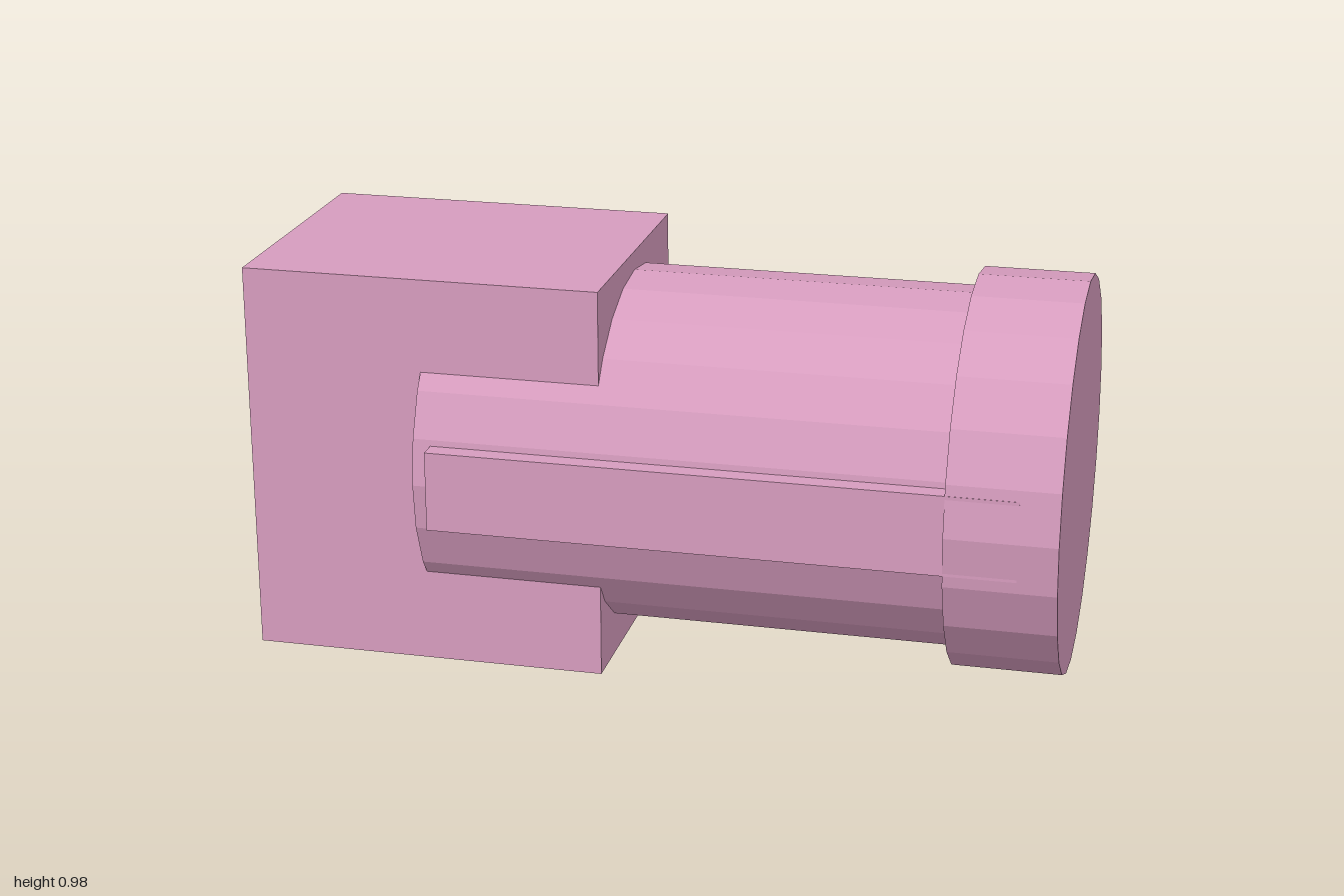
import * as THREE from 'three';

const AXIS_Y = 0.49;

export function createModel() {
  const model = new THREE.Group();
  const pink = new THREE.MeshStandardMaterial({ color: 0xd69cbe, flatShading: true });
  pink.name = 'dustyPink';

  const add = (name, geometry, x, y, z) => {
    const mesh = new THREE.Mesh(geometry, pink);
    mesh.name = name;
    mesh.position.set(x, y, z);
    model.add(mesh);
  };

  // Box spanning the given limits on each axis
  const block = (name, [x0, x1], [y0, y1], [z0, z1]) =>
    add(name, new THREE.BoxGeometry(x1 - x0, y1 - y0, z1 - z0),
      (x0 + x1) / 2, (y0 + y1) / 2, (z0 + z1) / 2);

  // 24-sided cylinder lying along x
  const barrel = (name, radius, x0, x1) =>
    add(name, new THREE.CylinderGeometry(radius, radius, x1 - x0, 24).rotateZ(-Math.PI / 2),
      (x0 + x1) / 2, AXIS_Y, 0);

  block('mountingBlock', [-1, -0.115], [0, 0.98], [-0.355, 0.355]);
  barrel('body', 0.443, -0.557, 0.733);
  barrel('endCap', 0.49, 0.733, 1);
  // Raised key running along the front of the body into the cap
  block('sideKey', [-0.513, 0.905], [0.392, 0.59], [0.38, 0.478]);

  return model;
}
